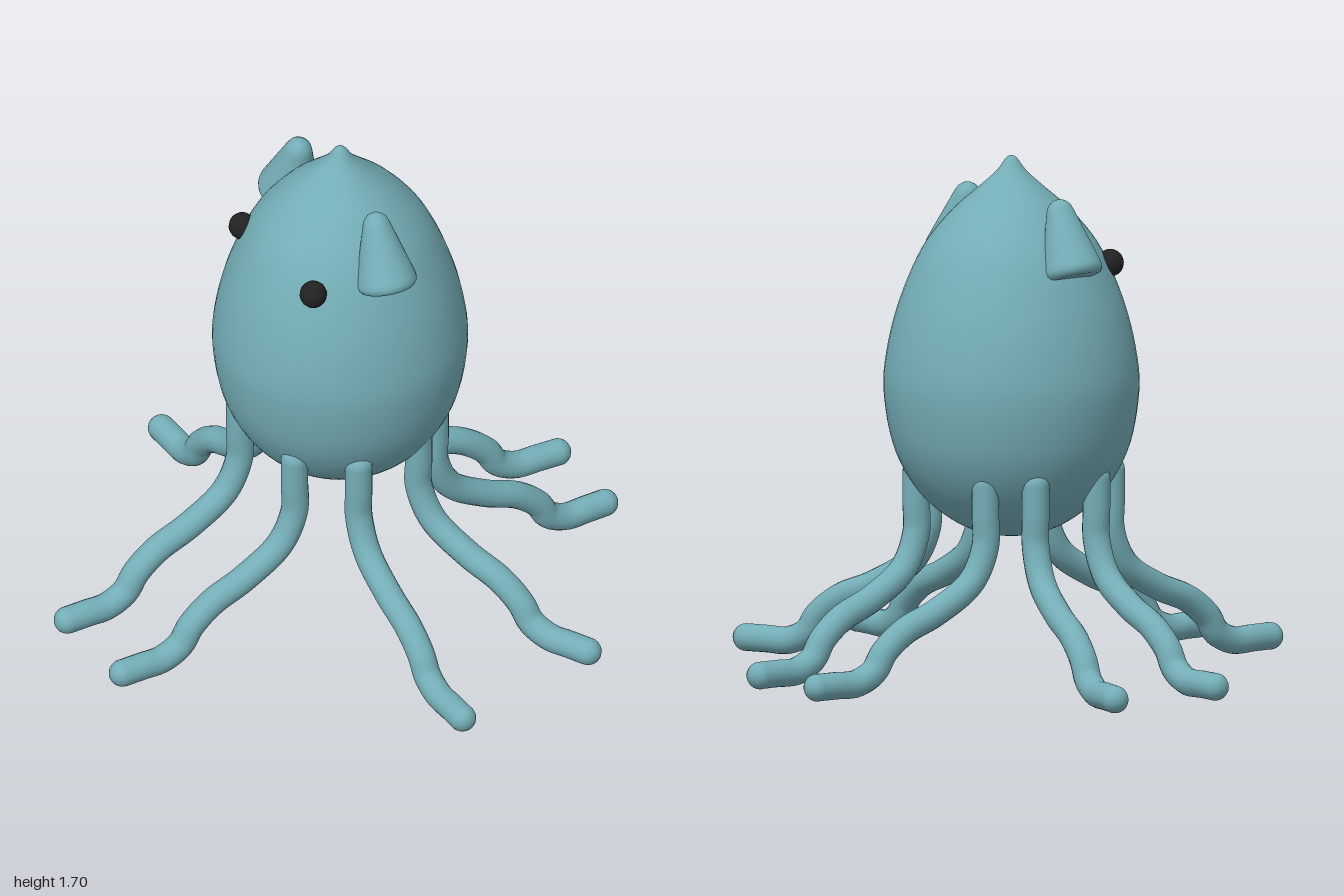
import * as THREE from 'three';

const v2 = (x, y) => new THREE.Vector2(x, y);

// Leg centreline: distance outward from the hip, height
const LEG = [[0, 0.66], [0, 0.56], [0, 0.46], [0.055, 0.345], [0.19, 0.258], [0.315, 0.205],
  [0.395, 0.142], [0.435, 0.083], [0.505, 0.05], [0.58, 0.05], [0.655, 0.05]];
const LEG_RADIUS = 0.045;

// Hip x, z and foot tip x, z of every leg
const LEGS = [
  [0.262, 0.16, 0.905, 0.16], [0.262, -0.205, 0.92, -0.16],
  [-0.272, 0.16, -0.925, 0.16], [-0.272, -0.185, -0.925, -0.185],
  [-0.11, 0.295, -0.11, 0.945], [-0.11, -0.315, -0.11, -0.94],
  [0.145, 0.25, 0.43, 0.84], [0.145, -0.32, 0.315, -0.955],
];

export function createModel() {
  const skin = new THREE.MeshStandardMaterial({ color: 0x74adb6 });
  skin.name = 'teal skin';
  const black = new THREE.MeshStandardMaterial({ color: 0x222222 });
  black.name = 'eye black';

  const model = new THREE.Group();
  model.name = 'octopus';
  const add = (name, geometry, material, parent = model) => {
    const mesh = new THREE.Mesh(geometry, material);
    mesh.name = name;
    parent.add(mesh);
    return mesh;
  };

  // Egg-shaped body with a small pointed tip
  const outline = new THREE.SplineCurve([
    v2(0, 0.45), v2(0.1, 0.463), v2(0.2, 0.508), v2(0.305, 0.6), v2(0.382, 0.74), v2(0.415, 0.92),
    v2(0.405, 1.06), v2(0.365, 1.22), v2(0.292, 1.39), v2(0.2, 1.51), v2(0.105, 1.595),
    v2(0.05, 1.645), v2(0.018, 1.688), v2(0, 1.698),
  ]).getPoints(70);
  outline.forEach((p) => { p.x = Math.max(p.x, 0); });
  add('body', new THREE.LatheGeometry(outline, 56), skin).position.set(0.01, 0, -0.02);

  // Rounded cone fins, front and back, leaning inwards
  const finProfile = [v2(0, 0), v2(0.078, 0), v2(0.09, 0.004), v2(0.098, 0.014), v2(0.1, 0.026), v2(0.097, 0.042),
    v2(0.045, 0.222), v2(0.038, 0.24), v2(0.025, 0.254), v2(0.012, 0.26), v2(0, 0.262)];
  for (const side of [1, -1]) {
    const fin = add(side > 0 ? 'frontFin' : 'backFin', new THREE.LatheGeometry(finProfile, 32), skin);
    fin.position.set(0, 1.33, -0.02 + side * 0.315);
    fin.rotation.x = -side * 0.33;
  }

  // Bead eyes on the -x side
  for (const z of [0.22, -0.225]) {
    add('eye', new THREE.SphereGeometry(0.045, 14, 10), black).position.set(-0.237, 1.345, z);
  }

  // Eight bent legs with rounded ends
  LEGS.forEach(([hx, hz, fx, fz], i) => {
    const leg = new THREE.Group();
    leg.name = `leg${i + 1}`;
    model.add(leg);
    const reach = LEG[LEG.length - 1][0];
    const points = LEG.map(([s, y]) =>
      new THREE.Vector3(hx + (fx - hx) * s / reach, y, hz + (fz - hz) * s / reach));
    const path = new THREE.CatmullRomCurve3(points, false, 'centripetal');
    add('tentacle', new THREE.TubeGeometry(path, 64, LEG_RADIUS, 16), skin, leg);
    for (const end of [points[0], points[points.length - 1]]) {
      add('roundedEnd', new THREE.SphereGeometry(LEG_RADIUS, 16, 12), skin, leg).position.copy(end);
    }
  });

  return model;
}
